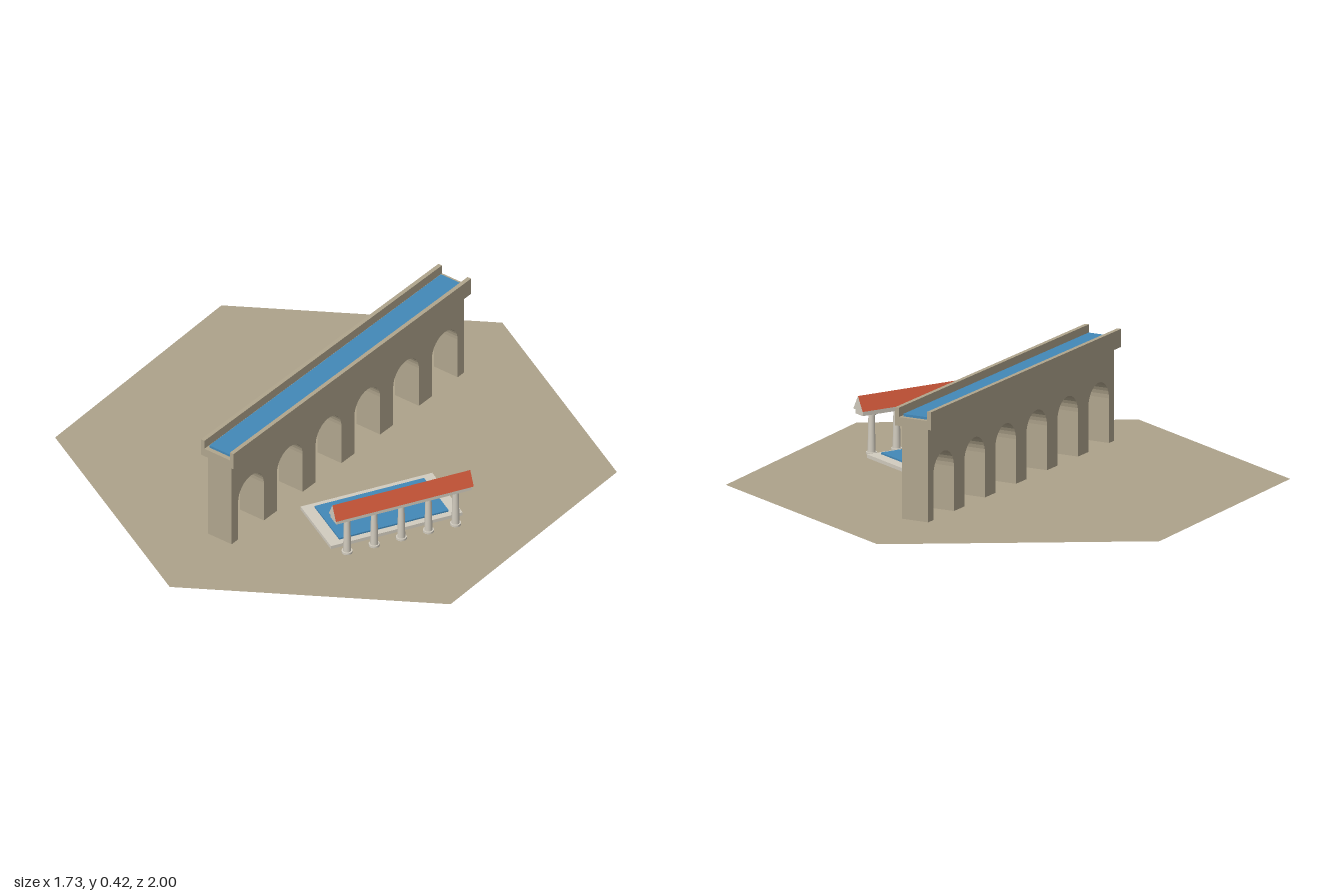
import * as THREE from 'three';

const paint = (name, color) => Object.assign(new THREE.MeshStandardMaterial({ color }), { name });

export function createModel() {
  const ground = paint('ground tan', 0xada28a);
  ground.side = THREE.DoubleSide;
  const stone = paint('stone', 0xb0a58d);
  const marble = paint('pale marble', 0xd2ccbf);
  const water = paint('water blue', 0x4288b8);
  const tile = paint('roof red', 0xc85538);

  const model = new THREE.Group();
  const add = (parent, name, geometry, material, x = 0, y = 0, z = 0) => {
    const mesh = new THREE.Mesh(geometry, material);
    mesh.name = name;
    mesh.position.set(x, y, z);
    parent.add(mesh);
    return mesh;
  };
  // box given by its bottom and top heights
  const block = (parent, name, material, w, d, y0, y1, x = 0, z = 0) =>
    add(parent, name, new THREE.BoxGeometry(w, y1 - y0, d), material, x, (y0 + y1) / 2, z);
  const group = (name) => {
    const g = new THREE.Group();
    g.name = name;
    model.add(g);
    return g;
  };

  const floor = 0.008;

  // flat hexagonal ground with points at front and back
  add(model, 'ground', new THREE.CircleGeometry(1, 6, Math.PI / 2).rotateX(-Math.PI / 2), ground);

  // aqueduct: wall outline runs along the bottom, in and out of six arches
  const aqueduct = group('aqueduct');
  aqueduct.rotation.y = THREE.MathUtils.degToRad(28);
  const length = 1.335, depth = 0.107, bays = 6, radius = 0.074, spring = 0.171;
  const wall = new THREE.Shape();
  wall.moveTo(-length / 2, floor);
  for (let i = 0; i < bays; i++) {
    const x = ((i + 0.5) / bays - 0.5) * length;
    wall.lineTo(x - radius, floor);
    wall.lineTo(x - radius, spring);
    wall.absarc(x, spring, radius, Math.PI, 0, true);
    wall.lineTo(x + radius, floor);
  }
  wall.lineTo(length / 2, floor);
  wall.lineTo(length / 2, 0.35);
  wall.lineTo(-length / 2, 0.35);
  wall.closePath();
  const wallGeometry = new THREE.ExtrudeGeometry(wall, { depth, bevelEnabled: false, curveSegments: 8 });
  add(aqueduct, 'archedWall', wallGeometry.translate(0, 0, -depth / 2), stone);

  // open-ended water channel on top
  block(aqueduct, 'channelFloor', stone, 1.364, 0.147, 0.35, 0.382);
  for (const s of [-1, 1]) block(aqueduct, 'channelSide', stone, 1.364, 0.016, 0.382, 0.416, 0, s * 0.0655);
  block(aqueduct, 'channelWater', water, 1.33, 0.098, 0.382, 0.391);

  // pool
  const pool = group('pool');
  block(pool, 'poolRim', marble, 0.51, 0.265, floor, 0.021, 0, 0.398);
  block(pool, 'poolWater', water, 0.424, 0.216, 0.021, 0.027, 0, 0.398);

  // portico: columns, beam and gabled roof
  const portico = group('portico');
  portico.position.z = 0.57;
  const column = [[0, floor], [0.02, floor], [0.02, 0.016], [0.0145, 0.016], [0.0115, 0.15], [0.017, 0.152], [0.017, 0.16], [0, 0.16]];
  // doubled points keep the base and capital edges crisp
  const profile = column.flatMap(([r, y]) => [new THREE.Vector2(r, y), new THREE.Vector2(r, y + 0.0001)]);
  for (let i = -2; i <= 2; i++) add(portico, 'column', new THREE.LatheGeometry(profile, 12), marble, i * 0.105);
  block(portico, 'beam', marble, 0.525, 0.05, 0.158, 0.177);
  const gable = new THREE.Shape([[-0.031, 0.175], [0.031, 0.175], [0, 0.227]].map(([x, y]) => new THREE.Vector2(x, y)));
  const roof = new THREE.ExtrudeGeometry(gable, { depth: 0.534, bevelEnabled: false });
  roof.translate(0, 0, -0.267).rotateY(Math.PI / 2);
  add(portico, 'roof', roof, [marble, tile]);

  return model;
}
